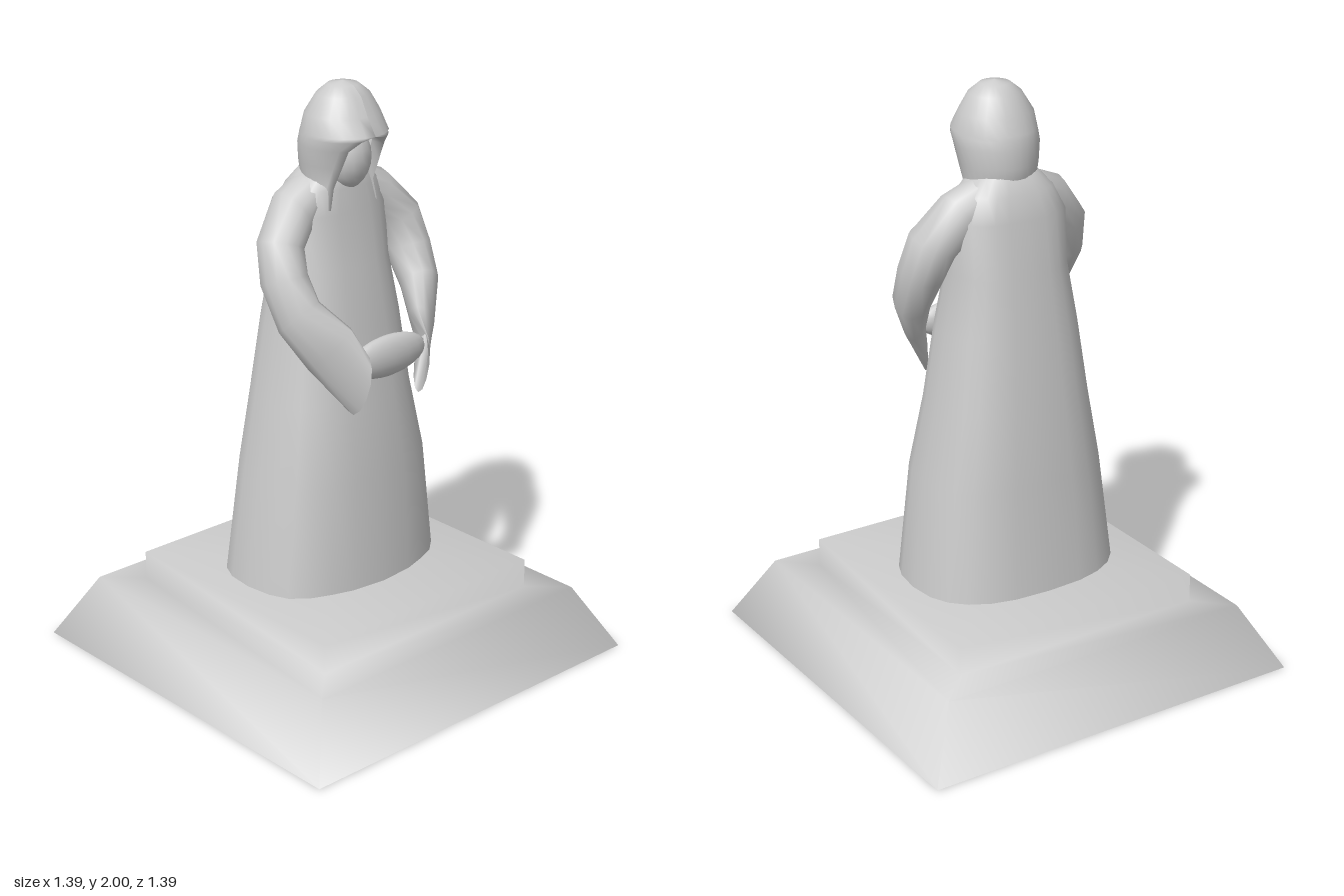
import * as THREE from 'three';

const material = new THREE.MeshStandardMaterial({ color: 0xcccccc, side: THREE.DoubleSide });

// Skin a list of equal-length rings with smooth normals
function loft(name, rings, closed = true) {
  const n = rings[0].length;
  const positions = rings.flat(2);
  const index = [];
  for (let i = 0; i < rings.length - 1; i++) {
    for (let j = 0; j < (closed ? n : n - 1); j++) {
      const k = (j + 1) % n;
      const a = i * n + j, b = i * n + k, c = b + n, d = a + n;
      index.push(a, b, d, b, c, d);
    }
  }
  const geometry = new THREE.BufferGeometry();
  geometry.setAttribute('position', new THREE.Float32BufferAttribute(positions, 3));
  geometry.setIndex(index);
  geometry.computeVertexNormals();
  const mesh = new THREE.Mesh(geometry, material);
  mesh.name = name;
  return mesh;
}

function ellipsoid(name, center, radii) {
  const geometry = new THREE.SphereGeometry(1, 16, 12);
  geometry.scale(...radii).translate(...center);
  const mesh = new THREE.Mesh(geometry, material);
  mesh.name = name;
  return mesh;
}

// Stepped square plinth, hollow underneath
function createPlinth() {
  const steps = [[0.695, 0], [0.575, 0.22], [0.46, 0.22], [0.46, 0.32], [0, 0.32]];
  return loft('plinth', steps.map(([s, y]) => [[s, y, s], [s, y, -s], [-s, y, -s], [-s, y, s]]));
}

// Robe: slightly squared ovals narrowing to the neck, with soft folds at the hem
function createRobe() {
  const rows = [ // y, half width, back z, front z
    [0.31, 0.37, -0.295, 0.25], [0.7, 0.32, -0.265, 0.235], [0.95, 0.272, -0.24, 0.195],
    [1.2, 0.235, -0.21, 0.165], [1.4, 0.2, -0.18, 0.13], [1.58, 0.2, -0.155, 0.1],
    [1.66, 0.16, -0.13, 0.092], [1.71, 0.11, -0.1, 0.08], [1.76, 0.05, -0.05, 0.05],
  ];
  const soft = (v) => Math.sign(v) * Math.abs(v) ** 0.78;
  return loft('robe', rows.map(([y, w, back, front]) => {
    const ring = [];
    for (let j = 0; j < 24; j++) {
      const t = (j / 24) * Math.PI * 2;
      const fold = 1 + 0.025 * Math.max(0, 1.2 - y) * (Math.cos(6 * t) - 1) * Math.max(0, Math.cos(t));
      ring.push([w * soft(Math.sin(t)) * fold, y,
        (front + back) / 2 + ((front - back) / 2) * soft(Math.cos(t)) * fold]);
    }
    return ring;
  }));
}

// Sleeve: sections given by centre, outer half axis and front half axis
function createSleeve(side) {
  const sections = [
    [[0.07, 1.66, -0.02], [0.01, 0.055, 0], [0, 0, 0.08]],
    [[0.17, 1.59, -0.01], [0.045, 0.07, 0], [0, 0, 0.085]],
    [[0.25, 1.5, 0.02], [0.073, 0.03, 0], [0, 0.02, 0.085]],
    [[0.27, 1.4, 0.06], [0.075, 0, 0], [0, 0.03, 0.08]],
    [[0.265, 1.29, 0.125], [0.068, -0.025, 0], [0, 0.05, 0.06]],
    [[0.205, 1.19, 0.2], [0.055, -0.05, -0.01], [-0.02, 0.045, 0.06]],
    [[0.14, 1.07, 0.27], [0.005, -0.11, -0.02], [-0.01, 0.01, 0.045]],
  ];
  const rings = sections.map(([c, u, v]) => {
    const ring = [];
    for (let j = 0; j < 12; j++) {
      const t = (j / 12) * Math.PI * 2;
      const p = c.map((value, k) => value + u[k] * Math.cos(t) + v[k] * Math.sin(t));
      ring.push([p[0] * side, p[1], p[2]]);
    }
    return side > 0 ? ring : ring.reverse();
  });
  return loft(side > 0 ? 'leftSleeve' : 'rightSleeve', rings);
}

// Hood: open at the front below the brim, with the edge turned inwards
function createHood() {
  const rows = [ // y, half width, back z, front z, half gap
    [1.6, 0.118, -0.06, 0.14, 0.1], [1.67, 0.118, -0.1, 0.125, 0.085],
    [1.74, 0.13, -0.11, 0.15, 0.08], [1.8, 0.14, -0.108, 0.17, 0.075],
    [1.832, 0.14, -0.102, 0.19, 0.05], [1.845, 0.138, -0.098, 0.192, 0],
    [1.9, 0.125, -0.08, 0.155, 0], [1.96, 0.088, -0.045, 0.125, 0],
    [1.99, 0.05, -0.01, 0.09, 0], [2, 0, 0.04, 0.04, 0],
  ];
  const n = 24;
  return loft('hood', rows.map(([y, w, back, front, gap]) => {
    const start = gap ? Math.asin(gap / w) : 0;
    const ring = [];
    for (let j = 0; j <= n; j++) {
      const t = start + (j / n) * (Math.PI * 2 - 2 * start);
      ring.push([w * Math.sin(t), y, (front + back) / 2 + ((front - back) / 2) * Math.cos(t)]);
    }
    const lip = ([x, py, z]) => (gap ? [x * 0.95, py, z - 0.05] : [x, py, z]);
    return [lip(ring[0]), ...ring, lip(ring[n])];
  }), false);
}

export function createModel() {
  const model = new THREE.Group();
  model.name = 'hoodedStatue';
  model.add(
    createPlinth(),
    createRobe(),
    createSleeve(1),
    createSleeve(-1),
    createHood(),
    ellipsoid('face', [0, 1.755, 0.05], [0.085, 0.11, 0.085]),
    ellipsoid('joinedHands', [0, 1.13, 0.255], [0.165, 0.07, 0.038]),
  );
  return model;
}
